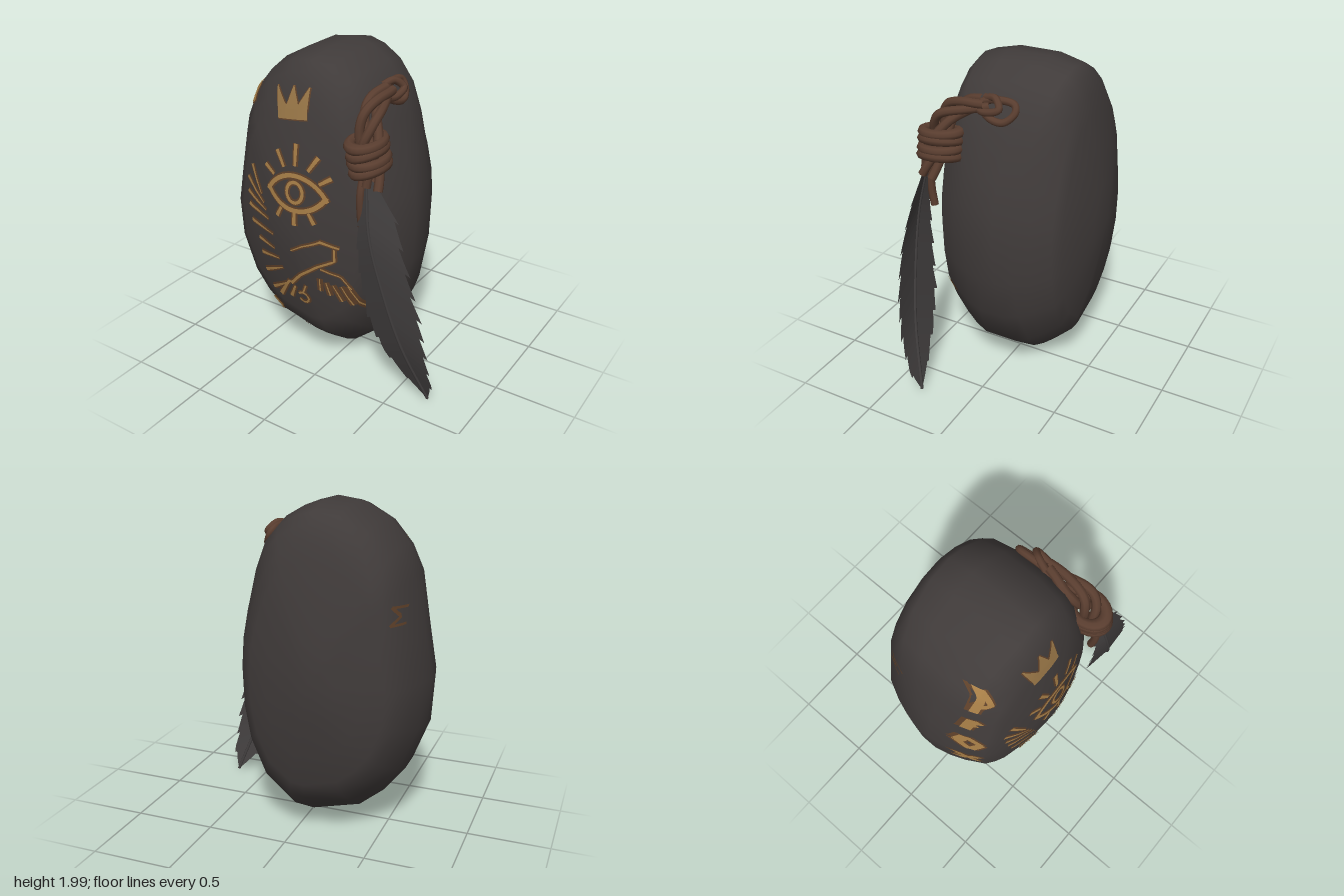
import * as THREE from 'three';
import { mergeGeometries } from 'three/addons/utils/BufferGeometryUtils.js';

const mat = (name, color, extra = {}) => new THREE.MeshStandardMaterial({ name, color, ...extra });

// Stone: front outline around a centre, and dome profiles of [scale, depth]
const C = [-0.16, 1.03];
const OUTLINE = [
  [0.43, 1.0], [0.415, 1.2], [0.37, 1.4], [0.3, 1.62], [0.22, 1.8], [0.13, 1.9], [0.01, 1.97], [-0.1, 2.0],
  [-0.25, 1.98], [-0.42, 1.89], [-0.55, 1.75], [-0.63, 1.6], [-0.7, 1.27], [-0.75, 1.0], [-0.73, 0.7],
  [-0.62, 0.42], [-0.5, 0.27], [-0.35, 0.15], [-0.05, 0.07], [0.06, 0.08], [0.26, 0.24], [0.37, 0.48], [0.42, 0.74],
].map(([x, y]) => [x - C[0], y - C[1]]);
const SIDE_DOME = [[0, 0.512], [0.25, 0.488], [0.5, 0.452], [0.7, 0.408], [0.8, 0.368], [0.9, 0.25], [0.96, 0.15], [1, 0.04]];
const TOP_DOME = [[0, 0.512], [0.25, 0.49], [0.5, 0.455], [0.7, 0.41], [0.8, 0.382], [0.9, 0.345], [0.96, 0.29], [1, 0.13]];
const BOTTOM_DOME = [[0, 0.512], [0.25, 0.49], [0.5, 0.455], [0.7, 0.41], [0.8, 0.378], [0.9, 0.275], [0.96, 0.205], [1, 0.14]];

// Linear lookup in a table of [key, value]
function lookup(table, k) {
  for (let i = 1; i < table.length; i++) {
    const [a, va] = table[i - 1], [b, vb] = table[i];
    if (k <= b) return va + (vb - va) * Math.max(0, (k - a) / (b - a));
  }
  return table[table.length - 1][1];
}

// Depth at scale r towards an outline point: squarer at the top and bottom than at the sides
function depth([x, y], r) {
  const w = Math.abs(y / Math.hypot(x, y)) ** 3;
  return lookup(SIDE_DOME, r) * (1 - w) + lookup(y > 0 ? TOP_DOME : BOTTOM_DOME, r) * w;
}

function stoneGeometry() {
  const n = OUTLINE.length, pos = [], index = [];
  const scales = SIDE_DOME.slice(1).map(p => p[0]);
  const rings = [...scales.map(r => [r, 1]), ...scales.reverse().map(r => [r, -1])];
  pos.push(C[0], C[1], SIDE_DOME[0][1]);
  for (const [r, s] of rings) for (const p of OUTLINE) pos.push(C[0] + p[0] * r, C[1] + p[1] * r, s * depth(p, r));
  pos.push(C[0], C[1], -SIDE_DOME[0][1]);
  const last = pos.length / 3 - 1;
  for (let i = 0; i < n; i++) {
    const j = (i + 1) % n;
    index.push(0, 1 + i, 1 + j);
    for (let k = 0; k < rings.length - 1; k++) {
      const a = 1 + k * n, b = a + n;
      index.push(a + i, b + i, b + j, a + i, b + j, a + j);
    }
    index.push(last, last - n + j, last - n + i);
  }
  const g = new THREE.BufferGeometry();
  g.setAttribute('position', new THREE.Float32BufferAttribute(pos, 3));
  g.setIndex(index);
  g.computeVertexNormals();
  return g;
}

// Depth of the stone's front surface at x, y
function frontZ(x, y) {
  const px = x - C[0], py = y - C[1];
  for (let i = 0; i < OUTLINE.length; i++) {
    const a = OUTLINE[i], b = OUTLINE[(i + 1) % OUTLINE.length];
    const d = a[0] * b[1] - a[1] * b[0];
    const u = (px * b[1] - py * b[0]) / d, v = (a[0] * py - a[1] * px) / d, r = u + v;
    if (u >= -1e-6 && v >= -1e-6) return r < 1e-6 ? SIDE_DOME[0][1] : (u * depth(a, r) + v * depth(b, r)) / r;
  }
  return 0;
}

// Painted ribbon along a polyline, laid on the stone's front
function ribbon(pts, w0, w1, lift) {
  const path = new THREE.CurvePath();
  for (let i = 1; i < pts.length; i++) {
    path.add(new THREE.LineCurve(new THREE.Vector2(...pts[i - 1]), new THREE.Vector2(...pts[i])));
  }
  const n = Math.max(3, Math.ceil(path.getLength() / 0.02)), pos = [], index = [];
  for (let i = 0; i <= n; i++) {
    const t = i / n, p = path.getPointAt(t), d = path.getTangentAt(t), w = (w0 + (w1 - w0) * t) / 2;
    for (const s of [1, -1]) {
      const x = p.x - d.y * w * s, y = p.y + d.x * w * s, k = 1 + lift * 0.6;
      pos.push(C[0] + (x - C[0]) * k, C[1] + (y - C[1]) * k, frontZ(x, y) + lift);
    }
    if (i < n) index.push(2 * i, 2 * i + 1, 2 * i + 3, 2 * i, 2 * i + 3, 2 * i + 2);
  }
  const g = new THREE.BufferGeometry();
  g.setAttribute('position', new THREE.Float32BufferAttribute(pos, 3));
  g.setIndex(index);
  g.computeVertexNormals();
  return g;
}

const arc = (cx, cy, rx, ry, a0, a1, n = 16) => Array.from({ length: n + 1 }, (_, i) => {
  const a = a0 + (a1 - a0) * i / n;
  return [cx + rx * Math.cos(a), cy + ry * Math.sin(a)];
});

// Feather: slanted tufts on both sides of a curved quill
const QUILL = new THREE.CatmullRomCurve3([[0.33, 1.42, 0.43], [0.38, 1.1, 0.485], [0.47, 0.75, 0.475], [0.57, 0.4, 0.43], [0.7, 0.01, 0.32]]
  .map(p => new THREE.Vector3(...p)));
const LEFT_VANE = [[0, 0.02], [0.15, 0.06], [0.4, 0.13], [0.6, 0.165], [0.75, 0.145], [0.9, 0.07], [1, 0]];
const RIGHT_VANE = [[0, 0.06], [0.1, 0.18], [0.3, 0.225], [0.5, 0.225], [0.7, 0.18], [0.88, 0.11], [1, 0]];

function vaneGeometry(table, side) {
  const pos = [], n = 30, sweep = side > 0 ? 0.12 : 0.24;
  const edge = (q, t, k) => {
    const w = lookup(table, t) * k;
    return [q.x + side * w, Math.max(0.005, q.y - 0.55 * w), q.z - sweep * w];
  };
  for (let i = 0; i < n; i++) {
    const t0 = i / n, t1 = (i + 1) / n, a = QUILL.getPoint(t0), b = QUILL.getPoint(t1), k = 0.92 + 0.05 * (i % 3);
    const A = a.toArray(), B = b.toArray(), ea = edge(a, t0, k), eb = edge(b, t1, k + 0.05);
    for (const tri of side > 0 ? [[A, B, eb], [A, eb, ea]] : [[A, eb, B], [A, ea, eb]]) pos.push(...tri.flat());
  }
  const g = new THREE.BufferGeometry();
  g.setAttribute('position', new THREE.Float32BufferAttribute(pos, 3));
  g.computeVertexNormals();
  return g;
}

export function createModel() {
  const model = new THREE.Group();
  const stoneMat = mat('stone', 0x403b3a), gold = mat('gold', 0xa67d46), dullGold = mat('dullGold', 0x977546), bronze = mat('bronze', 0x5e4029);
  const ropeMat = mat('rope', 0x593d2f), featherMat = mat('feather', 0x403d3d, { side: THREE.DoubleSide });
  const add = (name, geo, material, parent = model) => {
    const m = new THREE.Mesh(geo, material);
    m.name = name;
    parent.add(m);
    return m;
  };
  add('stone', stoneGeometry(), stoneMat);

  // Painted signs: strokes of [points, start width, end width] with a darker rim
  const paint = (name, strokes, top = gold, rim = 0.02) => {
    add(name + 'Rim', mergeGeometries(strokes.map(([p, a, b]) => ribbon(p, a + rim, b + rim, 0.005))), bronze);
    add(name, mergeGeometries(strokes.map(([p, a, b]) => ribbon(p, a, b, 0.009))), top);
  };

  paint('crown', [
    [[[-0.265, 1.672], [-0.065, 1.697]], 0.08, 0.08],
    [[[-0.235, 1.69], [-0.295, 1.805]], 0.07, 0.004],
    [[[-0.165, 1.7], [-0.175, 1.825]], 0.095, 0.004],
    [[[-0.1, 1.71], [-0.07, 1.83]], 0.07, 0.004],
  ], dullGold, 0.014);

  const rays = [[-0.115, 1.39, -0.115, 1.52], [-0.19, 1.37, -0.245, 1.46], [-0.26, 1.31, -0.33, 1.355], [-0.03, 1.375, 0.03, 1.465],
    [0.04, 1.31, 0.11, 1.355], [-0.11, 1.12, -0.11, 1.03], [-0.2, 1.125, -0.235, 1.06], [-0.02, 1.125, 0.015, 1.06]];
  paint('eye', [
    [arc(-0.105, 1.09, 0.225, 0.245, Math.PI * 0.84, Math.PI * 0.16), 0.026, 0.026],
    [arc(-0.105, 1.36, 0.225, 0.235, Math.PI * 1.17, Math.PI * 1.83), 0.028, 0.028],
    [arc(-0.11, 1.235, 0.052, 0.062, 0, Math.PI * 2, 24), 0.02, 0.02],
    ...rays.map(([a, b, c, d]) => [[[a, b], [c, d]], 0.018, 0.024]),
  ]);

  // Bird: fanned wings, body outline, tail and claw
  const upperWing = [[-0.37, 1.15, -0.455, 1.31], [-0.35, 1.1, -0.5, 1.22], [-0.33, 1.06, -0.5, 1.13], [-0.31, 1.01, -0.49, 1.05],
    [-0.28, 0.92, -0.47, 0.95], [-0.28, 0.82, -0.41, 0.85], [-0.25, 0.76, -0.4, 0.75], [-0.23, 0.7, -0.39, 0.62], [-0.17, 0.62, -0.35, 0.5]];
  const lowerWing = [[0.2, 0.68, 0.28, 0.51], [0.16, 0.67, 0.22, 0.54], [0.11, 0.67, 0.16, 0.56], [0.07, 0.68, 0.09, 0.59], [0.03, 0.7, 0.03, 0.61]];
  const feathers = (list, w) => list.map(([a, b, c, d]) => [[[a, b], [c, d]], 0.006, w]);
  paint('birdUpperWing', feathers(upperWing, 0.022), gold, 0.022);
  paint('birdLowerWing', feathers(lowerWing, 0.01), gold, 0.034);
  paint('birdBody', [
    [[[-0.15, 0.85], [-0.07, 0.9], [0, 0.93], [0.05, 0.955]], 0.006, 0.012],
    [[[0.04, 0.955], [0.16, 0.93]], 0.018, 0.012],
    [[[0.13, 0.92], [0.13, 0.84], [0.02, 0.78], [-0.1, 0.69], [-0.18, 0.6]], 0.012, 0.018],
    [[[0.04, 0.77], [0.16, 0.74], [0.22, 0.66]], 0.01, 0.006],
    [[[-0.19, 0.62], [-0.29, 0.47]], 0.014, 0.028],
    [[[-0.15, 0.59], [-0.2, 0.49]], 0.012, 0.024],
    [arc(-0.1, 0.52, 0.038, 0.036, -2.6, 2.6), 0.014, 0.014],
    [[[-0.1, 0.55], [-0.07, 0.62]], 0.012, 0.01],
  ]);

  // Runes down the edge: [centre x, centre y, strokes around the centre]
  const runes = [
    [-0.525, 1.69, [[-0.05, -0.09, 0.035, 0.08], [0.035, 0.08, 0.025, -0.03], [-0.02, -0.04, 0.03, -0.02]]],
    [-0.61, 1.45, [[-0.02, -0.07, 0.015, 0.07], [0.015, 0.07, 0.03, 0.02], [-0.015, -0.01, 0.02, 0]]],
    [-0.645, 1.18, [[-0.03, 0, 0, 0.08], [0, 0.08, 0.03, 0], [0.03, 0, -0.01, -0.08], [-0.01, -0.08, -0.03, 0]]],
    [-0.675, 0.92, [[-0.03, 0.08, 0.03, -0.07], [-0.025, -0.07, 0.03, 0.07], [-0.03, 0.01, 0.03, 0.02]]],
    [-0.635, 0.65, [[-0.03, 0.01, 0.005, 0.08], [0.005, 0.08, 0.03, 0], [0.03, 0, 0, -0.07], [0, -0.07, -0.03, 0.01]]],
    [-0.535, 0.46, [[-0.03, 0.09, 0.015, -0.1], [-0.045, 0.02, 0.04, -0.01], [-0.02, -0.05, 0.025, 0.05]]],
    [-0.36, 0.31, [[-0.02, 0.09, -0.01, -0.1], [-0.02, 0.09, 0.05, 0.04], [0.05, 0.04, -0.01, -0.01]]],
    [-0.175, 0.215, [[-0.05, 0.07, 0.04, -0.05], [-0.04, -0.05, 0.05, 0.06]]],
  ];
  paint('runes', runes.flatMap(([x, y, list]) =>
    list.map(([a, b, c, d]) => [[[x + a, y + b], [x + c, y + d]], 0.024, 0.026])));

  // Small dark sign on the back, laid like the front paint and mirrored
  const sign = [[[-0.635, 1.46], [-0.575, 1.47]], [[-0.575, 1.47], [-0.615, 1.415], [-0.575, 1.37]], [[-0.575, 1.37], [-0.635, 1.37]]];
  add('backSign', mergeGeometries(sign.map(p => ribbon(p, 0.014, 0.014, 0.006))), bronze).scale.z = -1;

  // Rope: loop, twisted strands, wrapped coils and a loose end
  const rope = new THREE.Group();
  rope.name = 'rope';
  model.add(rope);
  const tube = (name, pts, r, closed = false) => add(name, new THREE.TubeGeometry(
    new THREE.CatmullRomCurve3(pts.map(p => p.isVector3 ? p : new THREE.Vector3(...p)), closed), 40, r, 8, closed), ropeMat, rope);
  tube('ropeLoop', [[0.24, 1.79, 0.12], [0.23, 1.82, 0.03], [0.23, 1.81, -0.09], [0.25, 1.77, -0.1], [0.28, 1.715, -0.04], [0.275, 1.73, 0.06]], 0.022, true);
  tube('ropeKnot', [[0.22, 1.82, 0.1], [0.25, 1.835, 0.02], [0.29, 1.79, -0.02], [0.29, 1.76, 0.08], [0.25, 1.78, 0.16]], 0.022);
  const core = new THREE.CatmullRomCurve3([[0.245, 1.8, 0.08], [0.255, 1.77, 0.2], [0.28, 1.71, 0.31], [0.3, 1.6, 0.36], [0.32, 1.5, 0.38], [0.355, 1.34, 0.42]]
    .map(p => new THREE.Vector3(...p)));
  for (let s = 0; s < 4; s++) {
    const pts = Array.from({ length: 15 }, (_, i) => {
      const t = i / 14, a = s * Math.PI / 2 + t * 5, r = 0.032 + 0.026 * Math.sin(t * 2.4);
      return core.getPoint(t).add(new THREE.Vector3(Math.cos(a) * r, Math.sin(a) * r * 0.6, Math.sin(a) * r * 0.6));
    });
    tube('ropeStrand', pts, 0.027);
  }
  for (let i = 0; i < 4; i++) {
    const coil = add('ropeCoil', new THREE.TorusGeometry(0.086, 0.031, 8, 24).rotateX(Math.PI / 2), ropeMat, rope);
    coil.scale.z = 1.28;
    coil.position.set(0.285 + i * 0.009, 1.59 - i * 0.047, 0.36);
    coil.rotation.set(0.08, 0, i % 2 ? 0.24 : 0.06);
  }
  tube('ropeEnd', [[0.3, 1.44, 0.4], [0.3, 1.32, 0.44], [0.3, 1.2, 0.44], [0.3, 1.1, 0.425]], 0.024);

  // Hanging feather
  add('featherLeftVane', vaneGeometry(LEFT_VANE, -1), featherMat);
  add('featherRightVane', vaneGeometry(RIGHT_VANE, 1), featherMat);
  add('featherQuill', new THREE.TubeGeometry(QUILL, 24, 0.01, 6), featherMat);
  return model;
}
